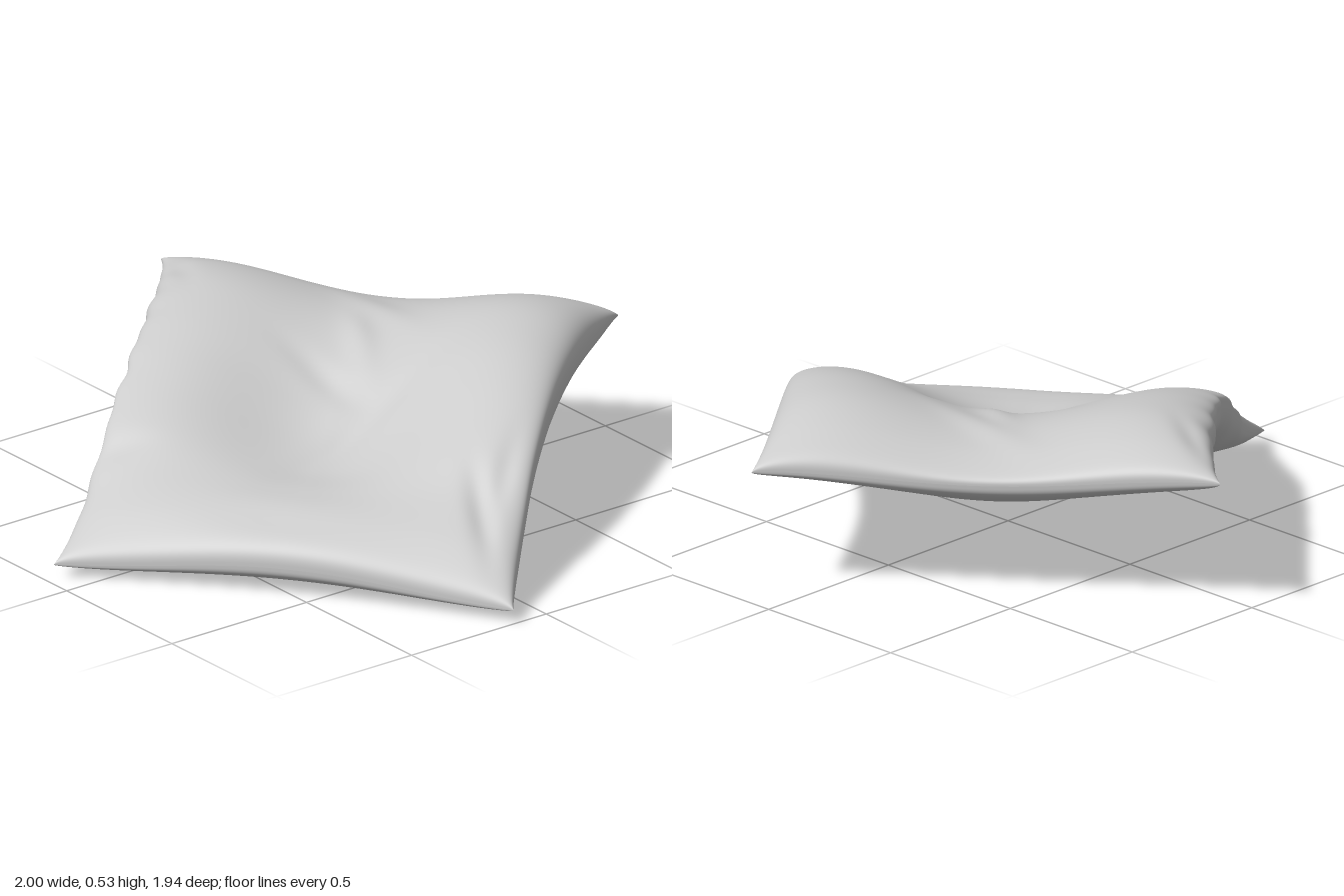
import * as THREE from 'three';

// Smooth curve through evenly spaced heights, read at u = 0..1
const profile = (ys) => {
  const curve = new THREE.SplineCurve(ys.map((y, i) => new THREE.Vector2(i / (ys.length - 1), y)));
  return (u) => curve.getPoint(THREE.MathUtils.clamp(u, 0, 1)).y;
};

// Heights from the low edge to the raised edge, near the two bent sides and along the middle
const side = {
  rim: profile([0.05, 0.1, 0.19, 0.29, 0.355, 0.395, 0.415, 0.42, 0.415, 0.41, 0.417]),
  top: profile([0.175, 0.235, 0.295, 0.375, 0.44, 0.495, 0.535, 0.558, 0.57, 0.56, 0.53]),
  bottom: profile([0.006, 0.012, 0.055, 0.125, 0.185, 0.235, 0.275, 0.31, 0.33, 0.34, 0.35]),
};
const middle = {
  rim: profile([0.095, 0.1, 0.11, 0.13, 0.16, 0.2, 0.25, 0.3, 0.34, 0.37, 0.38]),
  top: profile([0.225, 0.242, 0.24, 0.24, 0.27, 0.33, 0.4, 0.45, 0.47, 0.465, 0.44]),
  bottom: profile([0.015, 0.01, 0.005, 0.012, 0.04, 0.085, 0.13, 0.18, 0.225, 0.265, 0.3]),
};

// Corners (x, z): low front, low side, raised side, raised back
const frontLow = [-0.1, 0.97], sideLow = [1, 0.12], sideHigh = [-1, -0.13], backHigh = [0.1, -0.97];

// Soft creases: centre x, z, direction, length, width, depth
const folds = [
  [-0.14, -0.2, 0.5, 0.15, 0.04, 0.012],
  [-0.1, -0.04, -0.1, 0.15, 0.04, -0.012],
  [0.12, 0.0, 1.5, 0.25, 0.05, -0.01],
  [-0.25, -0.35, 0.1, 0.18, 0.05, 0.01],
  [0.72, 0.02, 0.5, 0.14, 0.035, -0.025],
  [0.66, -0.12, 0.9, 0.12, 0.035, -0.014],
  [-0.8, -0.04, 0.5, 0.12, 0.035, -0.015],
  [-0.25, 0.64, -0.9, 0.1, 0.04, -0.012],
  [0.32, 0.48, -0.6, 0.2, 0.06, -0.01],
];
const crease = (x, z) => folds.reduce((sum, [cx, cz, dir, len, wid, amp]) => {
  const dx = x - cx, dz = z - cz;
  const along = (dx * Math.cos(dir) + dz * Math.sin(dir)) / len;
  const across = (-dx * Math.sin(dir) + dz * Math.cos(dir)) / wid;
  return sum + amp * Math.exp(-along * along - across * across);
}, 0);

// a runs across (-1..1), b runs from the low edge to the raised edge (-1..1)
function cushionPoint(a, b, isTop, target) {
  const edgeA = Math.max(1 - a * a, 0), edgeB = Math.max(1 - b * b, 0);

  // Sides pull inwards between the pointed corners, one of them puckered
  const pucker = 0.005 * (Math.sin(b * 19) + Math.sin(b * 31 + 1)) * edgeB * Math.max(-a, 0) ** 8;
  const t = (a * (1 - (0.08 - 0.015 * a) * Math.pow(edgeB, 0.7) + pucker) + 1) / 2;
  const s = (b * (1 - 0.045 * Math.pow(edgeA, 0.7)) + 1) / 2;
  const at = (i) => THREE.MathUtils.lerp(
    THREE.MathUtils.lerp(frontLow[i], sideLow[i], t),
    THREE.MathUtils.lerp(sideHigh[i], backHigh[i], t), s);
  const x = at(0), z = at(1);

  // The middle sags below the two bent sides, in a narrower valley on top
  const u = (b + 1) / 2;
  const sagCurve = Math.max(Math.cos(a * Math.PI / 2), 0);
  const height = (layer, power) =>
    THREE.MathUtils.lerp(side[layer](u), middle[layer](u), sagCurve ** power);
  const rim = height('rim', 2) - 0.015 * a * u;

  // Full, blunt filling that closes at the rim
  const fill = Math.pow(Math.max((1 - a ** 4) * (1 - b ** 4), 0), isTop ? 0.37 : 0.32);
  const inner = isTop
    ? height('top', 2.7) + crease(x, z) - 0.03 * Math.max(-a, 0) * edgeB
    // Fine closing seam across the underside
    : height('bottom', 2) + 0.007 * Math.exp(-((b / 0.025) ** 2));
  target.set(x, THREE.MathUtils.lerp(rim, inner, fill), z);
}

function cushionHalf(isTop) {
  const geometry = new THREE.PlaneGeometry(2, 2, 120, 120);
  const position = geometry.attributes.position;
  const p = new THREE.Vector3();
  // Sine spacing gathers rows near the rounded rim
  const spread = (v) => Math.sin(v * Math.PI / 2);
  for (let i = 0; i < position.count; i++) {
    const a = spread(position.getX(i)) * (isTop ? 1 : -1);
    cushionPoint(a, spread(position.getY(i)), isTop, p);
    position.setXYZ(i, p.x, p.y, p.z);
  }
  geometry.computeVertexNormals();
  return geometry;
}

export function createModel() {
  const group = new THREE.Group();
  group.name = 'cushion';
  const material = new THREE.MeshStandardMaterial({ color: 0xcccccc, side: THREE.DoubleSide });
  for (const isTop of [true, false]) {
    const half = new THREE.Mesh(cushionHalf(isTop), material);
    half.name = isTop ? 'topCover' : 'bottomCover';
    group.add(half);
  }
  return group;
}
